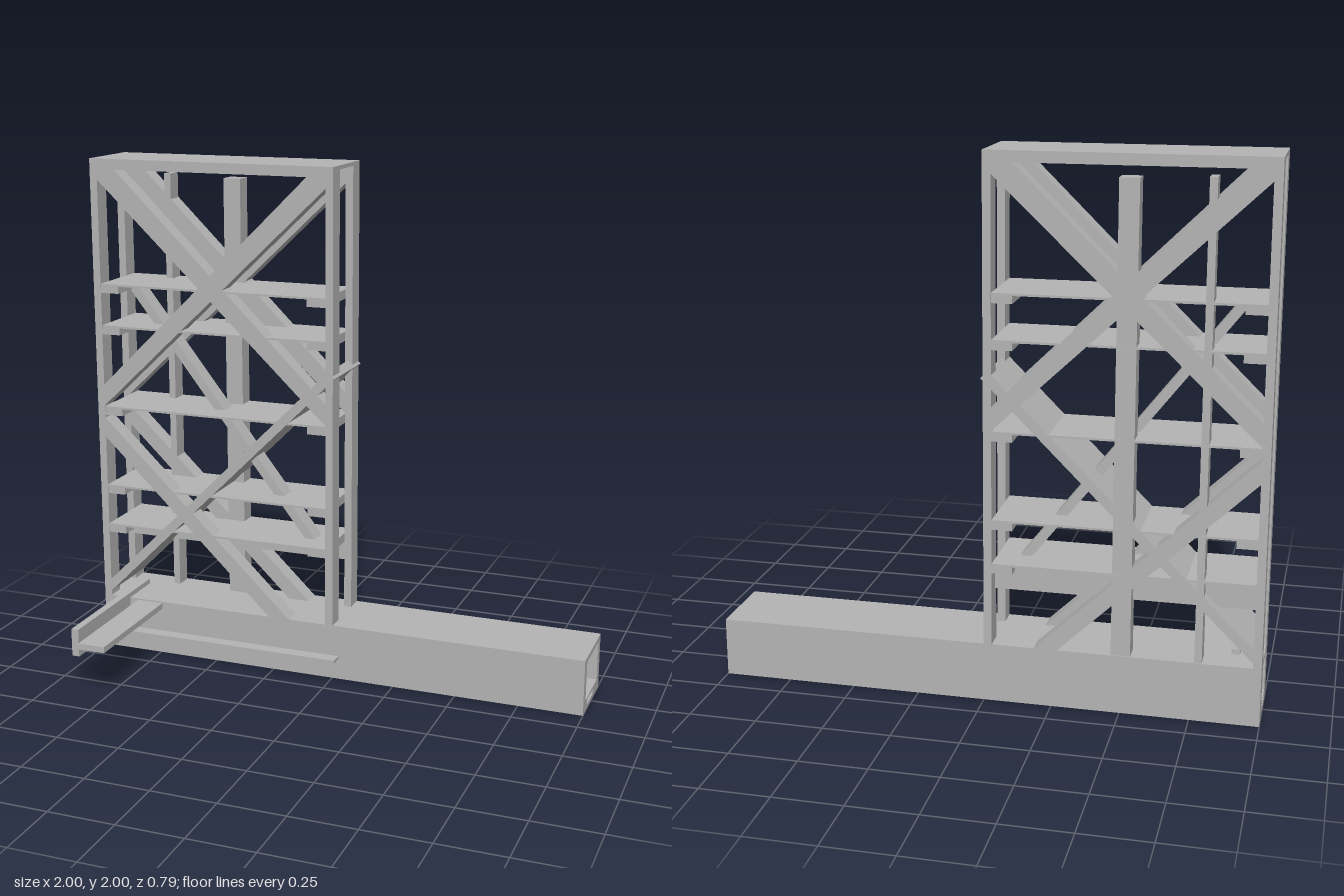
import * as THREE from 'three';

export function createModel() {
  const model = new THREE.Group();
  model.name = 'shelfTower';
  const gray = new THREE.MeshStandardMaterial({ color: 0xb4b4b4 });
  gray.name = 'plainGray';

  // depth range of the tower and base
  const FRONT = -0.105, BACK = -0.395, RAIL = 0.072;

  const add = (name, geometry) => {
    const mesh = new THREE.Mesh(geometry, gray);
    mesh.name = name;
    model.add(mesh);
    return mesh;
  };

  // box given by its extents
  const box = (name, x0, x1, y0, y1, z0, z1) => {
    const mesh = add(name, new THREE.BoxGeometry(x1 - x0, y1 - y0, z1 - z0));
    mesh.position.set((x0 + x1) / 2, (y0 + y1) / 2, (z0 + z1) / 2);
    return mesh;
  };

  // polygon in the x-y plane, extruded along z
  const prism = (name, points, z0, z1) => {
    const shape = new THREE.Shape(points.map(([x, y]) => new THREE.Vector2(x, y)));
    const geometry = new THREE.ExtrudeGeometry(shape, { depth: z1 - z0, bevelEnabled: false });
    geometry.translate(0, 0, z0);
    return add(name, geometry);
  };

  // straight sloping bar between two points
  const slope = (name, [ax, ay], [bx, by], thickness, z0, z1) => {
    const length = Math.hypot(bx - ax, by - ay);
    const mesh = add(name, new THREE.BoxGeometry(length, thickness, z1 - z0));
    mesh.position.set((ax + bx) / 2, (ay + by) / 2, (z0 + z1) / 2);
    mesh.rotation.z = Math.atan2(by - ay, bx - ax);
  };

  // hollow base beam with a main opening and a low slot
  const rect = (Type, z0, z1, y0, y1) => {
    const r = new Type();
    r.moveTo(z0, y0);
    r.lineTo(z1, y0);
    r.lineTo(z1, y1);
    r.lineTo(z0, y1);
    r.closePath();
    return r;
  };
  const section = rect(THREE.Shape, -FRONT, -BACK, 0, 0.22);
  section.holes.push(rect(THREE.Path, 0.145, 0.355, 0.045, 0.2));
  section.holes.push(rect(THREE.Path, 0.18, 0.285, 0.015, 0.035));
  const beam = new THREE.ExtrudeGeometry(section, { depth: 2, bevelEnabled: false });
  beam.rotateY(Math.PI / 2);
  beam.translate(-1, 0, 0);
  add('baseBeam', beam);

  // front and back frames: posts, top rail, crossed and single braces
  for (const [side, z0, z1] of [['front', FRONT - RAIL, FRONT], ['back', BACK, BACK + RAIL]]) {
    box(side + 'LeftPost', -0.03, 0, 0.04, 2, z0, z1);
    box(side + 'RightPost', -1, -0.97, 0.04, 2, z0, z1);
    box(side + 'TopRail', -0.97, -0.03, 1.96, 2, z0, z1);
    const rising = [[-0.97, 1.025], [-0.03, 1.92], [-0.03, 1.96], [-0.105, 1.96], [-0.97, 1.11]];
    prism(side + 'RisingBrace', rising, z0, z1);
    prism(side + 'FallingBrace', rising.map(([x, y]) => [-1 - x, y]).reverse(), z0, z1);
    prism(side + 'LowerBrace', [[-0.97, 0.895], [-0.27, 0.22], [-0.185, 0.22], [-0.97, 0.975]], z0, z1);
  }
  box('topPlate', -1, 0, 1.985, 2, BACK, FRONT);

  // uprights and low board inside the back frame
  box('wideUpright', -0.535, -0.465, 0.2, 1.92, BACK + 0.004, BACK + RAIL);
  box('narrowUpright', -0.79, -0.763, 0.2, 1.93, BACK + 0.004, BACK + RAIL);
  box('backBoard', -0.97, -0.03, 0.42, 0.525, BACK + 0.05, BACK + RAIL);

  // shelves, each resting on a pair of cleats
  for (const y of [1.515, 1.35, 1.022, 0.695, 0.53]) {
    box('shelf', -0.97, -0.03, y - 0.008, y, BACK + 0.002, FRONT - 0.002);
    for (const x of [-0.97, -0.105]) {
      box('shelfCleat', x, x + 0.075, y - 0.036, y - 0.008, BACK + 0.002, FRONT - 0.002);
    }
  }

  // sloping deck and the strut that crosses it
  slope('slopingDeck', [-0.984, 0.25], [-0.004, 1.225], 0.036, BACK, FRONT);
  slope('crossStrut', [-0.88, 1.49], [-0.122, 0.515], 0.034, -0.283, -0.21);

  // ledge and arms passing through the front of the base
  box('frontLedge', -0.97, 0.025, 0.083, 0.095, -0.345, -0.055);
  box('edgeArm', -0.915, -0.885, 0.13, 0.24, -0.285, 0.33);
  box('flatArm', -0.85, -0.74, 0.19, 0.214, -0.23, 0.395);

  return model;
}
